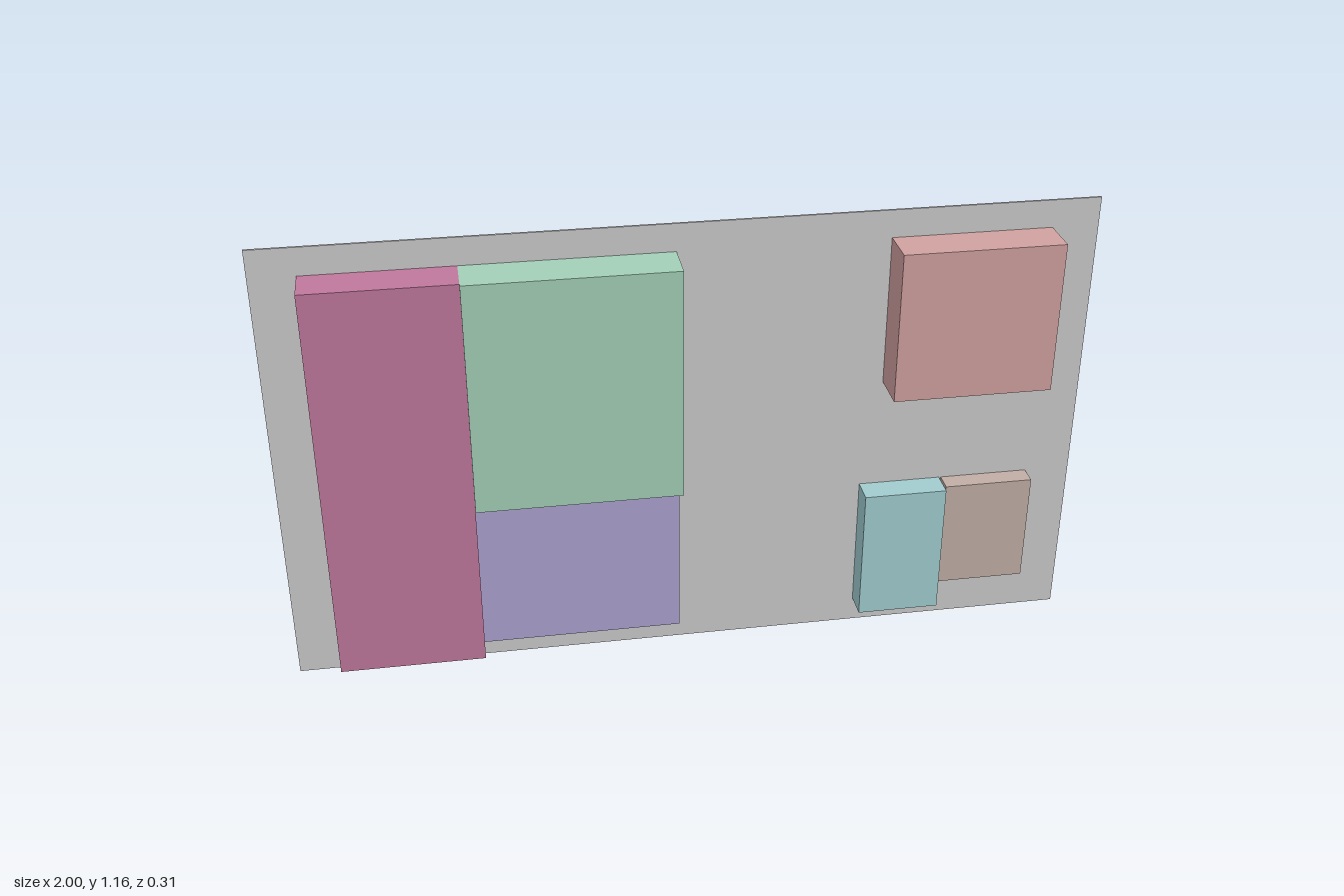
import * as THREE from 'three';

// Panel faces in z
const FRONT = 0.045, BACK = 0.039;

// name, x range, y range, outer z, color
const BLOCKS = [
  // Blocks on the front of the panel
  ['frontTallBlock', -0.89, -0.53, 0.062, 1.095, 0.148, 0xc0789c],
  ['frontUpperBlock', -0.53, -0.025, 0.5, 1.095, 0.157, 0xa4d0b8],
  ['frontLowerBlock', -0.53, -0.025, 0.062, 0.497, 0.08, 0xaca2d0],
  ['frontCornerBlock', 0.49, 0.885, 0.71, 1.095, 0.15, 0xd0a2a0],
  ['frontSmallTallBlock', 0.445, 0.655, 0.066, 0.42, 0.113, 0xa2cdd0],
  ['frontSmallShortBlock', 0.66, 0.885, 0.13, 0.42, 0.095, 0xc2aea6],
  // Blocks on the back of the panel
  ['backUpperBlock', -0.025, 0.49, 0.71, 1.095, -0.063, 0xd8cc62],
  ['backMiddleBlock', -0.025, 0.44, 0.375, 0.705, -0.155, 0xcdbea2],
  ['backSideBlock', 0.44, 0.882, 0.42, 0.705, -0.041, 0xc6a2d0],
  ['backLowerBlock', -0.025, 0.44, 0.06, 0.375, -0.031, 0xa2b4d0],
  ['backSmallBlock', 0.66, 0.885, 0.064, 0.126, 0.015, 0x5e8ea0],
];

function box(name, x0, x1, y0, y1, z0, z1, color) {
  const mesh = new THREE.Mesh(
    new THREE.BoxGeometry(x1 - x0, y1 - y0, Math.abs(z1 - z0)),
    new THREE.MeshStandardMaterial({ color })
  );
  mesh.position.set((x0 + x1) / 2, (y0 + y1) / 2, (z0 + z1) / 2);
  mesh.name = name;
  return mesh;
}

export function createModel() {
  const model = new THREE.Group();
  model.name = 'panelWithBlocks';

  // Thin upright panel
  model.add(box('panel', -1, 1, 0, 1.165, BACK, FRONT, 0xcccccc));

  // Each block stands out from the panel face on its own side
  for (const [name, x0, x1, y0, y1, z, color] of BLOCKS) {
    model.add(box(name, x0, x1, y0, y1, z > FRONT ? FRONT : BACK, z, color));
  }
  return model;
}
